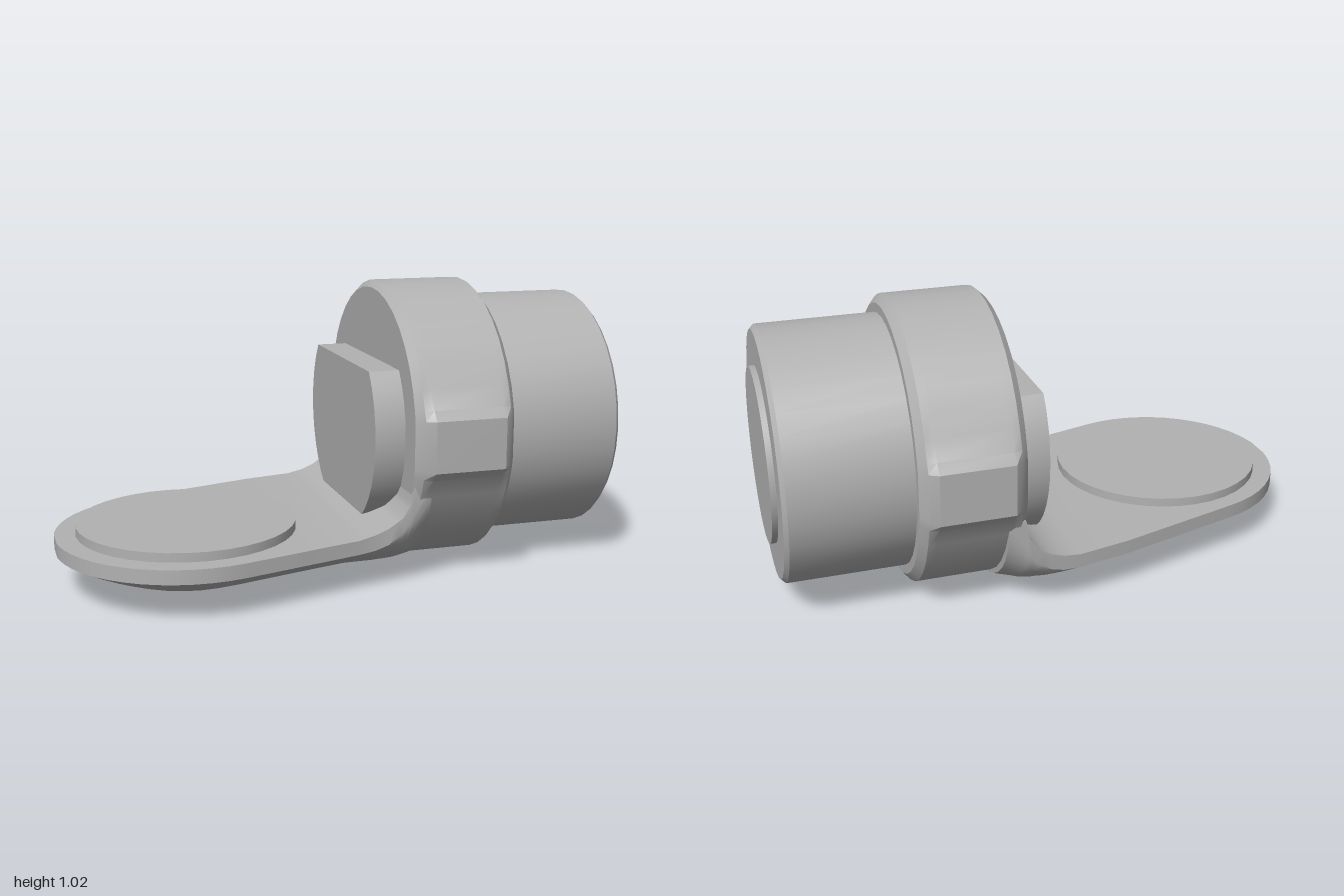
import * as THREE from 'three';
import { toCreasedNormals } from 'three/addons/utils/BufferGeometryUtils.js';

const CY = 0.51, CZ = -0.037; // axis of the round body, along x

// Skin a row of closed loops (each running front, bottom, back, top), capping both ends.
function loft(loops, crease = 0.5) {
  const pos = [];
  const tri = (a, b, c) => pos.push(...a, ...b, ...c);
  const n = loops[0].length;
  for (let i = 0; i < loops.length - 1; i++) {
    for (let j = 0; j < n; j++) {
      const k = (j + 1) % n, A = loops[i], B = loops[i + 1];
      tri(A[j], A[k], B[j]);
      tri(A[k], B[k], B[j]);
    }
  }
  const cap = (loop, flip) => {
    const c = [0, 1, 2].map(d => loop.reduce((s, p) => s + p[d], 0) / n);
    for (let j = 0; j < n; j++) {
      const k = (j + 1) % n;
      if (flip) tri(c, loop[k], loop[j]); else tri(c, loop[j], loop[k]);
    }
  };
  cap(loops[0], true);
  cap(loops[loops.length - 1], false);
  const g = new THREE.BufferGeometry();
  g.setAttribute('position', new THREE.Float32BufferAttribute(pos, 3));
  return toCreasedNormals(g, crease);
}

// Round part about the body axis from [x, radius] stations.
function turned(stations, sides = 36) {
  return loft(stations.map(([x, r]) => Array.from({ length: sides }, (_, j) => {
    const t = j / sides * Math.PI * 2;
    return [x, CY - r * Math.sin(t), CZ + r * Math.cos(t)];
  })));
}

// Piecewise linear lookup through [x, value] points.
function lerpPoints(pts, x) {
  if (x <= pts[0][0]) return pts[0][1];
  for (let i = 1; i < pts.length; i++) {
    const [x0, v0] = pts[i - 1], [x1, v1] = pts[i];
    if (x <= x1) return v0 + (v1 - v0) * (x - x0) / (x1 - x0);
  }
  return pts[pts.length - 1][1];
}

// Collar with a flat lug on the front and back.
function collarGeometry() {
  const quarter = [0.165, 0.235, 0.38];
  for (let i = 1; i <= 7; i++) quarter.push(0.38 + (Math.PI / 2 - 0.38) * i / 7);
  const half = [...quarter, ...quarter.slice(0, -1).reverse().map(a => Math.PI - a)];
  const angles = [...half, ...half.map(a => a + Math.PI)];
  // x, body radius, lug height
  const stations = [[0.185, 0.485, 0], [0.21, 0.51, 0.3], [0.24, 0.51, 1],
    [0.495, 0.51, 1], [0.525, 0.51, 0.3], [0.55, 0.48, 0]];
  return loft(stations.map(([x, r, lug]) => angles.map(t => {
    const a = Math.asin(Math.min(1, Math.abs(Math.sin(t))));
    const rr = r + lug * lerpPoints([[0.165, 0.0375], [0.235, 0.014], [0.38, 0]], a);
    return [x, CY - rr * Math.sin(t), CZ + rr * Math.cos(t)];
  })), 0.4);
}

// Tongue with a rounded tip, bowled underside and a fillet rising to the collar.
function tongueGeometry() {
  const cx = -0.55, cz = 0.12, r = 0.453;
  const back = [[-0.66, -0.32], [-0.2, -0.455], [0.02, -0.5], [0.18, -0.52], [0.25, -0.52]];
  const front = [[-0.43, 0.557], [-0.01, 0.44], [0.07, 0.425], [0.15, 0.425], [0.25, 0.44]];
  const top = [[0, 0.19], [0.05, 0.2], [0.1, 0.218], [0.15, 0.25], [0.18, 0.3], [0.19, 0.36], [0.25, 0.38]];
  const edge = [[0, 0.14], [0.05, 0.145], [0.1, 0.16], [0.15, 0.195], [0.18, 0.235], [0.2, 0.28], [0.25, 0.36]];
  const xs = [];
  for (let i = 0; i <= 14; i++) xs.push(cx - 0.45 * Math.cos((i / 14) * 1.84));
  xs.push(-0.2, -0.01, 0.05, 0.1, 0.13, 0.15, 0.17, 0.18, 0.19, 0.2, 0.25);
  const N = 20;
  return loft(xs.map(x => {
    const w = Math.sqrt(Math.max(0, r * r - (x - cx) ** 2));
    const zb = x < -0.66 ? cz - w : lerpPoints(back, x);
    const zf = x < -0.43 ? cz + w : lerpPoints(front, x);
    const ye = lerpPoints(edge, x), yt = lerpPoints(top, x);
    const yb = x < -0.5 ? 0.14 * ((-0.5 - x) / 0.5) ** 2 : 0;
    const power = lerpPoints([[0, 1], [0.2, 0.5]], x);
    const loop = [];
    for (let j = 0; j <= N; j++) {
      const u = Math.cos(j / N * Math.PI);
      const y = ye - (ye - yb) * Math.pow(Math.max(0, 1 - u * u), power);
      loop.push([x, y, (zf + zb) / 2 + u * (zf - zb) / 2]);
    }
    loop.push([x, yt, zb], [x, yt, zf]);
    return loop;
  }), 0.5);
}

// Round block with its top cut flat.
function blockGeometry() {
  const r = 0.385, a0 = Math.asin(0.23 / r);
  const section = x => Array.from({ length: 29 }, (_, j) => {
    const t = -a0 + (Math.PI + 2 * a0) * j / 28;
    return [x, CY - r * Math.sin(t), CZ + r * Math.cos(t)];
  });
  return loft([section(0.075), section(0.2)]);
}

export function createModel() {
  const group = new THREE.Group();
  const grey = new THREE.MeshStandardMaterial({ color: 0xb2b2b2 });
  grey.name = 'grey';
  const add = (name, geometry) => {
    const mesh = new THREE.Mesh(geometry, grey);
    mesh.name = name;
    group.add(mesh);
    return mesh;
  };

  add('tongue', tongueGeometry());
  add('collar', collarGeometry());
  add('innerBlock', blockGeometry());
  add('barrel', turned([[0.5, 0.447], [0.965, 0.447], [0.98, 0.432]]));
  add('endCap', turned([[0.95, 0.307], [1, 0.307]]));

  // Raised disc on the tongue
  add('pad', toCreasedNormals(new THREE.CylinderGeometry(0.385, 0.385, 0.05, 36), 0.5))
    .position.set(-0.545, 0.197, 0.115);
  return group;
}
